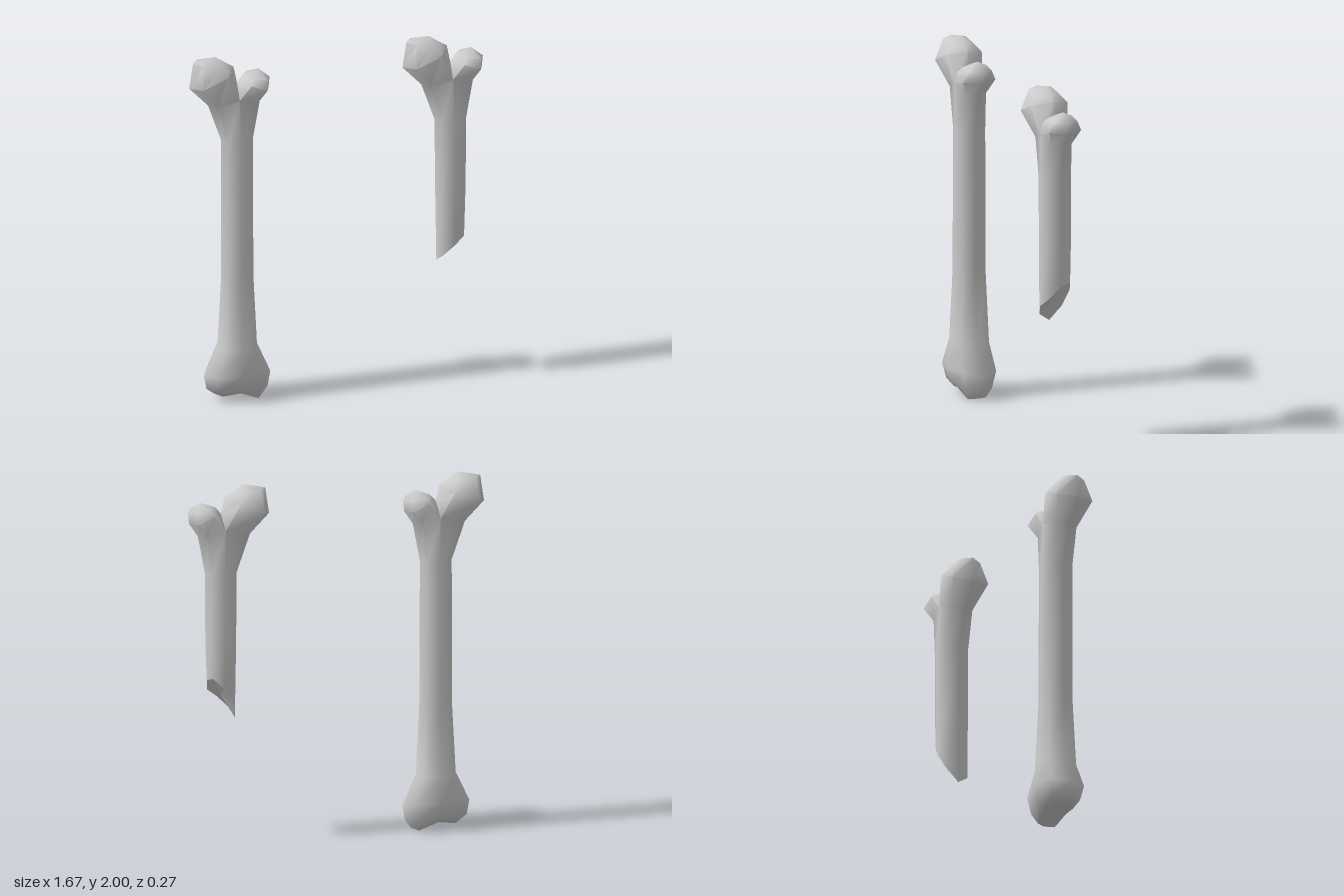
import * as THREE from 'three';
import { toCreasedNormals } from 'three/addons/utils/BufferGeometryUtils.js';

const grey = new THREE.MeshStandardMaterial({ color: 0xcccccc });
const flatGrey = new THREE.MeshStandardMaterial({ color: 0xcccccc, flatShading: true });

// Eight-sided cross-section; y may be a single height or one height per corner
function ring(x0, x1, depth, y) {
  const cx = (x0 + x1) / 2, rx = (x1 - x0) / 2;
  return Array.from({ length: 8 }, (_, i) => {
    const a = (i * Math.PI) / 4, k = i % 2 ? 1.06 : 1;
    return [cx + rx * k * Math.cos(a), Array.isArray(y) ? y[i] : y, depth * k * Math.sin(a)];
  });
}

// Six-sided tilted cross-section of a knob, from its outer to its inner point
function hex([ox, oy], [ix, iy], depth, side) {
  const at = (t, z) => [ox + (ix - ox) * t, oy + (iy - oy) * t, z * depth * side];
  return [at(0.75, 1), at(0.2, 1), at(0, 0), at(0.2, -1), at(0.75, -1), at(1, 0)];
}

// Collects shared corners and the faces between cross-sections
class Skin {
  points = [];
  faces = [];
  add(list) {
    return list.map((p) => this.points.push(p) - 1);
  }
  bridge(a, b) {
    a.forEach((p, i) => {
      const j = (i + 1) % a.length;
      this.faces.push(p, b[i], a[j], a[j], b[i], b[j]);
    });
  }
  cap(loop, centre, up) {
    const [c] = this.add([centre]);
    loop.forEach((p, i) => {
      const q = loop[(i + 1) % loop.length];
      this.faces.push(...(up ? [p, c, q] : [p, q, c]));
    });
  }
  loft(loops) {
    for (let i = 1; i < loops.length; i++) this.bridge(loops[i - 1], loops[i]);
  }
  geometry() {
    const g = new THREE.BufferGeometry();
    g.setAttribute('position', new THREE.Float32BufferAttribute(this.points.flat(), 3));
    g.setIndex(this.faces);
    return g;
  }
}

// Adds the flared neck that forks into the large head and the small knob
function addUpperEnd(skin, shaftTop) {
  const forkPoints = ring(-0.122, 0.172, 0.082, 1.72);
  for (const i of [2, 6]) {
    forkPoints[i][0] = 0.035;
    forkPoints[i][1] = 1.76;
  }
  const f = skin.add(forkPoints);
  skin.bridge(shaftTop, f);
  const [saddle] = skin.add([[0.042, 1.84, 0]]);

  // Large head
  const head = [
    [f[2], f[3], f[4], f[5], f[6], saddle],
    skin.add(hex([-0.23, 1.83], [0.022, 1.935], 0.11, 1)),
    skin.add(hex([-0.208, 1.975], [-0.013, 1.955], 0.065, 1)),
  ];
  skin.loft(head);
  skin.cap(head[2], [-0.08, 2, 0], true);

  // Small knob
  const knob = [
    [f[6], f[7], f[0], f[1], f[2], saddle],
    skin.add(hex([0.222, 1.795], [0.057, 1.86], 0.095, -1)),
    skin.add(hex([0.228, 1.855], [0.077, 1.88], 0.07, -1)),
  ];
  skin.loft(knob);
  skin.cap(knob[2], [0.162, 1.91, 0], true);
}

function mesh(name, geometry, material) {
  const m = new THREE.Mesh(geometry, material);
  m.name = name;
  return m;
}

function wholeBone() {
  const skin = new Skin();
  // Lower end with two rounded lobes and a groove between them, then the shaft
  const loops = [
    ring(-0.09, 0.185, 0.07, [0.012, 0.005, 0.05, 0.035, 0.04, 0.035, 0.05, 0.005]),
    ring(-0.132, 0.217, 0.108, [0.055, 0.06, 0.085, 0.075, 0.07, 0.075, 0.085, 0.06]),
    ring(-0.147, 0.232, 0.135, [0.14, 0.16, 0.17, 0.16, 0.15, 0.16, 0.17, 0.16]),
    ring(-0.07, 0.156, 0.11, 0.31),
    ring(-0.049, 0.136, 0.092, 0.7),
    ring(-0.0475, 0.1325, 0.09, 1.51),
  ].map((r) => skin.add(r));
  skin.loft(loops);
  skin.cap(loops[0], [0.045, 0.062, 0], false);
  addUpperEnd(skin, loops[5]);
  return mesh('wholeBone', toCreasedNormals(skin.geometry(), 1.15), grey);
}

function brokenBone() {
  const group = new THREE.Group();
  group.name = 'brokenBone';
  const skin = new Skin();
  // Slanted, jagged break, heights listed around the shaft
  const breakLine = ring(-0.037, 0.122, 0.088, [0.91, 0.84, 0.795, 0.735, 0.69, 0.77, 0.87, 0.93]);
  const loops = [
    breakLine,
    ring(-0.044, 0.13, 0.09, 1.12),
    ring(-0.0475, 0.1325, 0.09, 1.51),
  ].map((r) => skin.add(r));
  skin.loft(loops);
  addUpperEnd(skin, loops[2]);
  group.add(mesh('brokenShaft', toCreasedNormals(skin.geometry(), 1.15), grey));

  // Face of the break
  const cut = new Skin();
  cut.cap(cut.add(breakLine), [0.042, 0.82, 0], false);
  const cutGeometry = cut.geometry();
  cutGeometry.computeVertexNormals();
  group.add(mesh('breakFace', cutGeometry, flatGrey));
  return group;
}

export function createModel() {
  const model = new THREE.Group();
  model.name = 'bones';
  const whole = wholeBone();
  whole.position.x = -0.6075;
  const broken = brokenBone();
  broken.position.x = 0.6075;
  model.add(whole, broken);
  return model;
}
